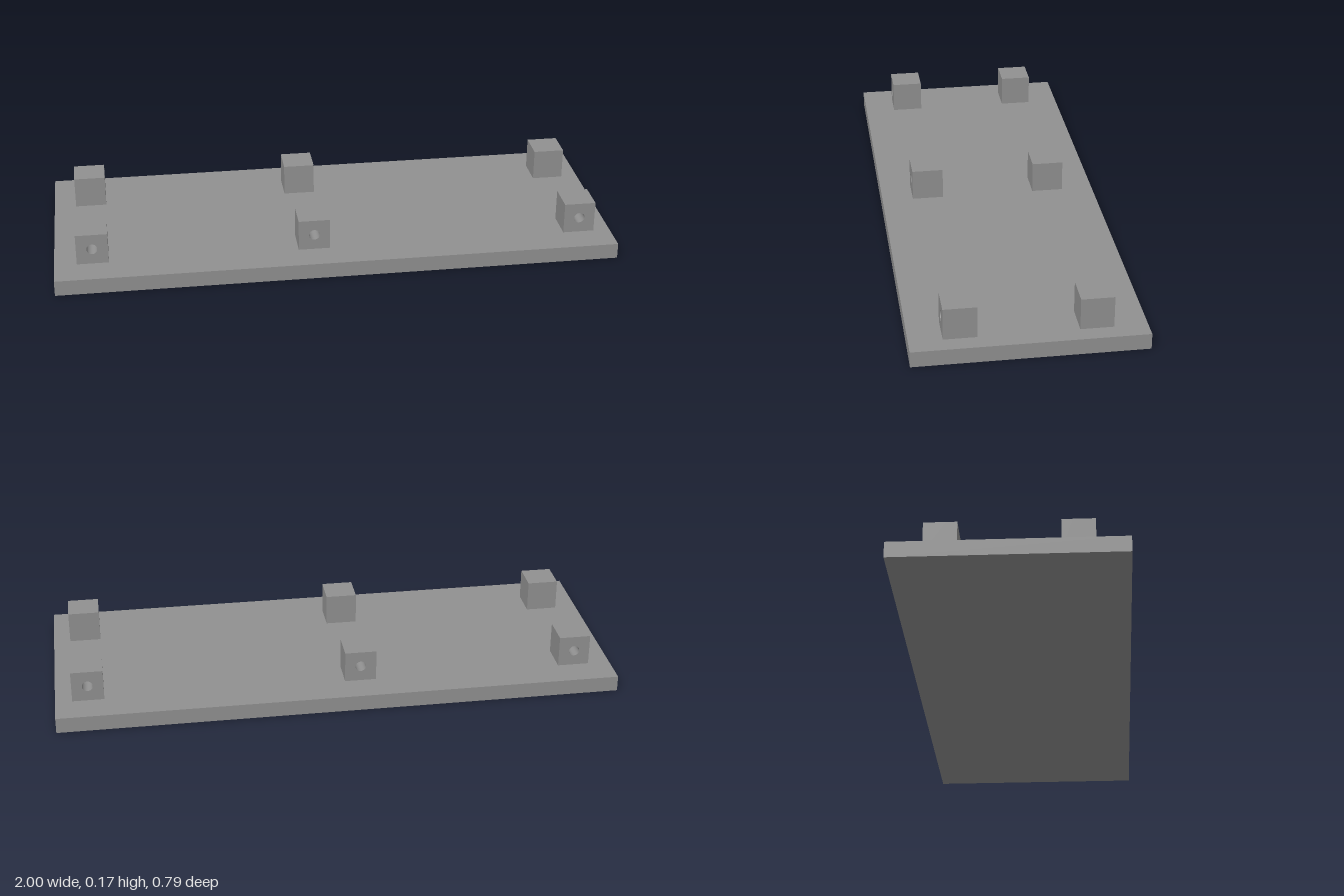
import * as THREE from 'three';

const PLATE = { w: 2, h: 0.056, d: 0.785 };
const SIZE = 0.112;          // block edge
const HOLE_R = 0.019;
const HOLE_DEPTH = 0.075;

export function createModel() {
  const group = new THREE.Group();
  const grey = new THREE.MeshStandardMaterial({ color: 0x909090 });
  grey.name = 'plain grey';

  const add = (parent, name, geometry, x, y, z) => {
    const mesh = new THREE.Mesh(geometry, grey);
    mesh.name = name;
    mesh.position.set(x, y, z);
    parent.add(mesh);
  };

  // Flat base plate
  add(group, 'basePlate', new THREE.BoxGeometry(PLATE.w, PLATE.h, PLATE.d), 0, PLATE.h / 2, 0);

  // Drilled outer portion of a block: square with a round hole
  const s = SIZE / 2;
  const square = new THREE.Shape([
    new THREE.Vector2(-s, -s), new THREE.Vector2(s, -s),
    new THREE.Vector2(s, s), new THREE.Vector2(-s, s),
  ]);
  square.holes.push(new THREE.Path().absarc(0, 0, HOLE_R, 0, Math.PI * 2, true));
  const drilled = new THREE.ExtrudeGeometry(square, {
    depth: HOLE_DEPTH, bevelEnabled: false, curveSegments: 32,
  });

  // Solid inner portion that closes the blind hole
  const solidDepth = SIZE - HOLE_DEPTH;
  const solid = new THREE.BoxGeometry(SIZE, SIZE, solidDepth);

  // Two rows of three blocks, holes facing outwards
  for (const side of [1, -1]) {
    for (const x of [-0.865, -0.082, 0.884]) {
      const block = new THREE.Group();
      block.name = side > 0 ? 'frontBlock' : 'backBlock';
      add(block, 'drilledPart', drilled, 0, 0, s - HOLE_DEPTH);
      add(block, 'solidPart', solid, 0, 0, -s + solidDepth / 2);
      block.position.set(x, PLATE.h + s, side * 0.224);
      if (side < 0) block.rotation.y = Math.PI;
      group.add(block);
    }
  }
  return group;
}
